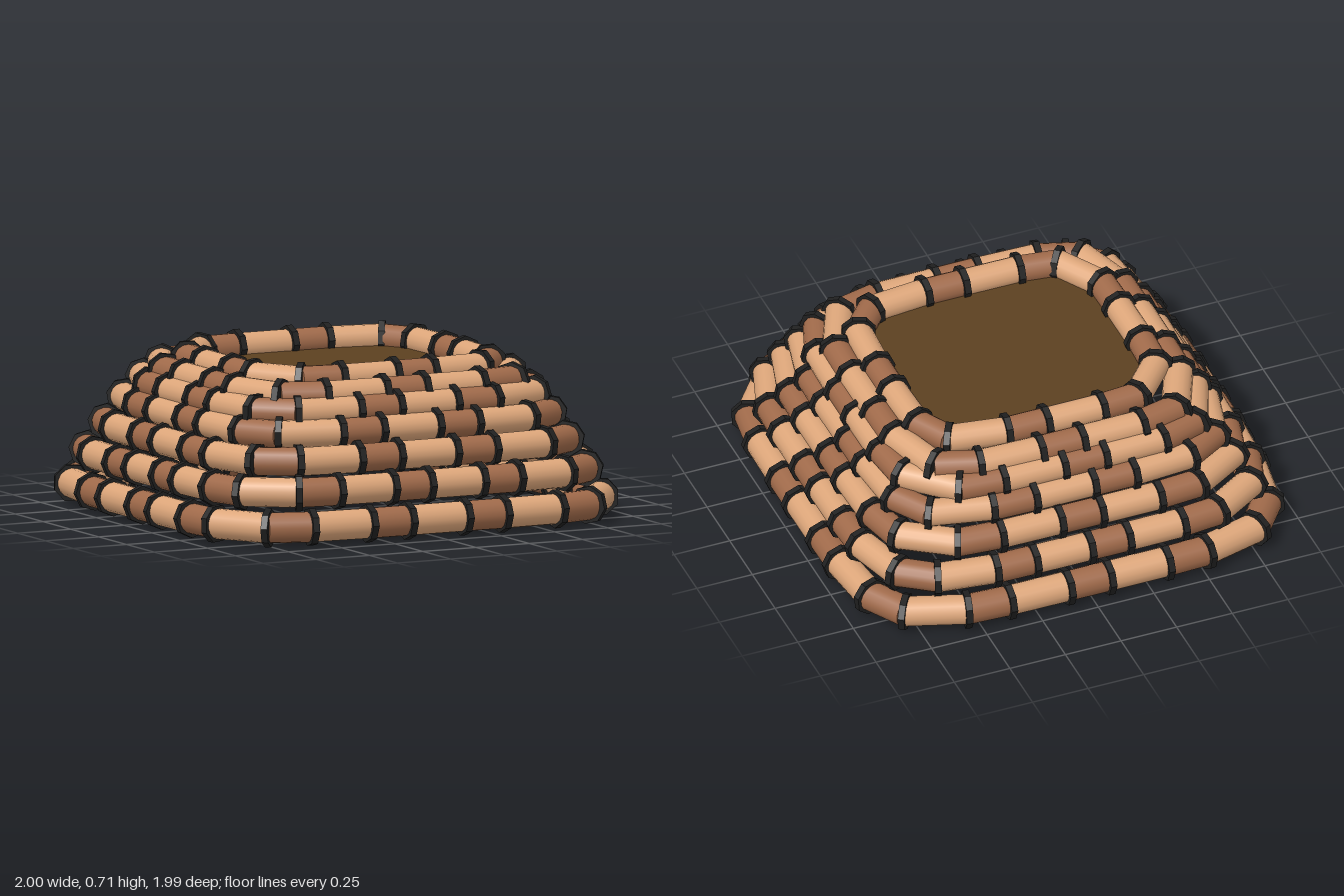
import * as THREE from 'three';

const lightWood = new THREE.MeshStandardMaterial({ color: 0xdda67a });
const darkWood = new THREE.MeshStandardMaterial({ color: 0xa06a4a });
const strap = new THREE.MeshStandardMaterial({ color: 0x202020, flatShading: true });
const lining = new THREE.MeshStandardMaterial({ color: 0x5c4020, side: THREE.DoubleSide });

// Each course: height, half width, half depth, tube radius, light/dark pairs, start x of a dark tube on the front
const courses = [
  { y: 0.083, a: 0.92, b: 0.915, r: 0.064, pairs: 15, start: -0.33 },
  { y: 0.22, a: 0.865, b: 0.86, r: 0.062, pairs: 15, start: -0.2 },
  { y: 0.34, a: 0.80, b: 0.795, r: 0.06, pairs: 13, start: -0.32 },
  { y: 0.445, a: 0.74, b: 0.735, r: 0.058, pairs: 12, start: -0.37 },
  { y: 0.525, a: 0.69, b: 0.675, r: 0.06, pairs: 11, start: -0.26 },
  { y: 0.583, a: 0.635, b: 0.615, r: 0.062, pairs: 10, start: -0.11 },
  { y: 0.635, a: 0.543, b: 0.503, r: 0.059, pairs: 9, start: 0 },
];

// Rounded-square outline, starting at the middle of the front and running towards +x
function outline(a, b, n = 5.5, steps = 400) {
  const pts = [];
  for (let i = 0; i <= steps; i++) {
    const t = (i / steps) * Math.PI * 2;
    const s = Math.sin(t), c = Math.cos(t);
    const k = Math.pow(Math.abs(s) ** n + Math.abs(c) ** n, -1 / n);
    pts.push(new THREE.Vector2(a * s * k, b * c * k));
  }
  return pts;
}

// Point at a fraction of the outline's length
function sampler(pts) {
  const run = [0];
  for (let i = 1; i < pts.length; i++) run.push(run[i - 1] + pts[i].distanceTo(pts[i - 1]));
  const total = run[run.length - 1];
  return {
    total,
    at(d) {
      d = ((d % total) + total) % total;
      let i = 1;
      while (run[i] < d) i++;
      return pts[i - 1].clone().lerp(pts[i], (d - run[i - 1]) / (run[i] - run[i - 1]));
    },
  };
}

const up = new THREE.Vector3(0, 1, 0);

function rod(name, radius, length, sides, material, position, direction) {
  const mesh = new THREE.Mesh(new THREE.CylinderGeometry(radius, radius, length, sides), material);
  mesh.name = name;
  mesh.position.copy(position);
  mesh.quaternion.setFromUnitVectors(up, direction);
  return mesh;
}

function createCourse({ y, a, b, r, pairs, start }, index) {
  const group = new THREE.Group();
  group.name = `course${index + 1}`;
  const path = sampler(outline(a, b));
  const period = path.total / pairs;

  // Joints between alternating short dark and long light tubes
  const joints = [];
  for (let i = 0; i < pairs; i++) {
    for (const f of [0, 0.41]) {
      const p = path.at(start + (i + f) * period);
      joints.push(new THREE.Vector3(p.x, y, p.y));
    }
  }

  const count = joints.length;
  joints.forEach((p, i) => {
    const next = joints[(i + 1) % count];
    const prev = joints[(i + count - 1) % count];
    const span = next.clone().sub(p);
    const middle = p.clone().add(next).multiplyScalar(0.5);
    group.add(rod(i % 2 ? 'longTube' : 'shortTube', r, span.length() + 0.008, 16,
      i % 2 ? lightWood : darkWood, middle, span.clone().normalize()));
    const tangent = next.clone().sub(prev).normalize();
    group.add(rod('strap', r + 0.017, 0.028, 8, strap, p, tangent));
  });
  return group;
}

export function createModel() {
  const model = new THREE.Group();
  model.name = 'steppedTubeBasket';
  courses.forEach((course, i) => model.add(createCourse(course, i)));

  // Flat floor that closes the top opening
  const top = courses[courses.length - 1];
  const shape = new THREE.Shape(outline(top.a, top.b, 5.5, 64));
  const floor = new THREE.Mesh(new THREE.ShapeGeometry(shape), lining);
  floor.name = 'floor';
  floor.rotation.x = -Math.PI / 2;
  floor.position.y = 0.61;
  model.add(floor);
  return model;
}
